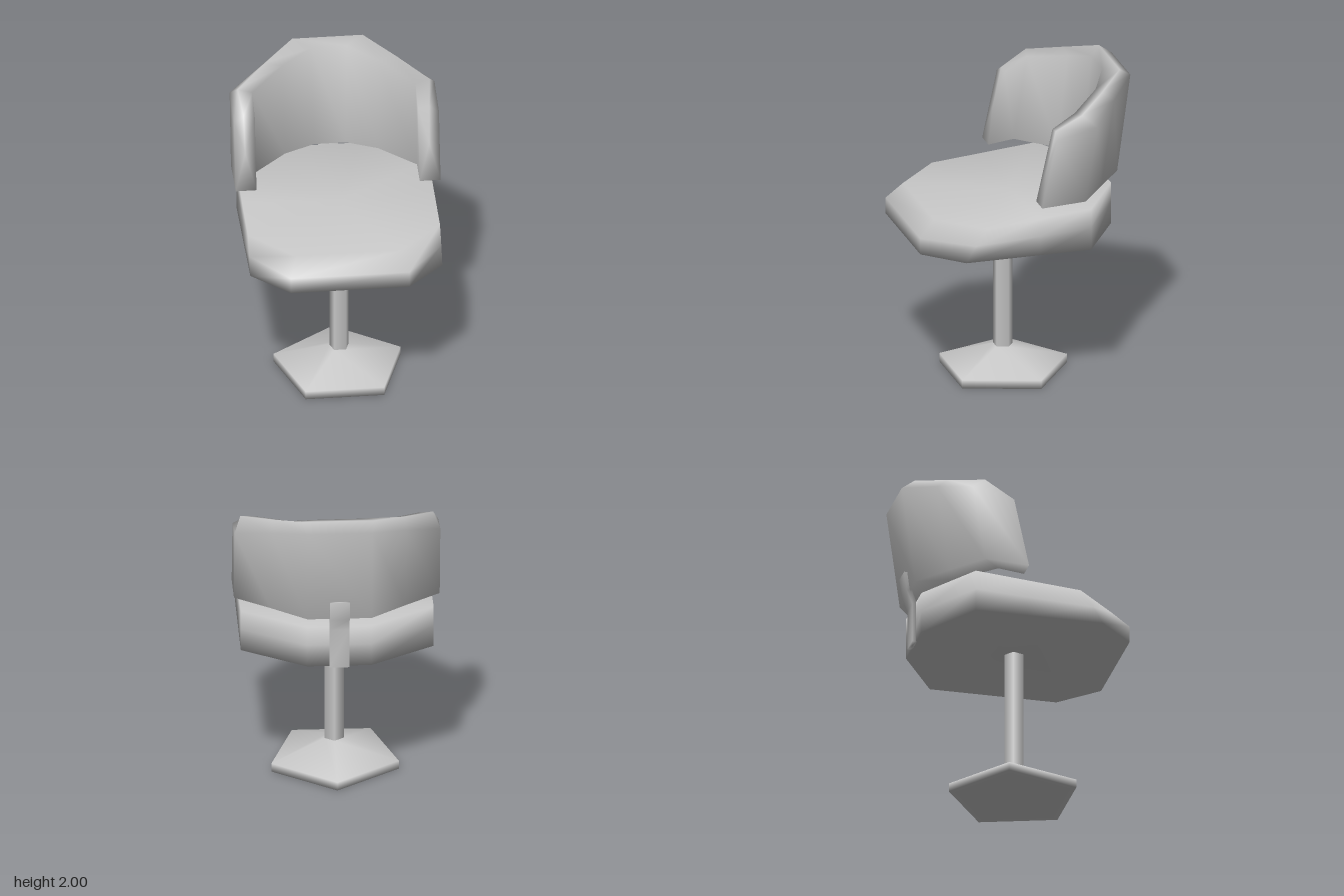
import * as THREE from 'three';

const grey = new THREE.MeshStandardMaterial({ color: 0xc8c8c8 });
grey.name = 'light grey';

// Smooth skin through closed rings of [x, y, z]; each end is capped with a fan around a centre point.
function loft(rings, startCentre, endCentre) {
  const n = rings[0].length;
  const index = [];
  for (let i = 0; i < rings.length - 1; i++) {
    for (let j = 0; j < n; j++) {
      const a = i * n + j, b = i * n + (j + 1) % n;
      index.push(a, b, b + n, a, b + n, a + n);
    }
  }
  const start = rings.length * n, end = start + 1, last = start - n;
  for (let j = 0; j < n; j++) {
    const k = (j + 1) % n;
    index.push(start, k, j, end, last + j, last + k);
  }
  const geometry = new THREE.BufferGeometry();
  const points = [...rings.flat(), startCentre, endCentre];
  geometry.setAttribute('position', new THREE.Float32BufferAttribute(points.flat(), 3));
  geometry.setIndex(index);
  geometry.computeVertexNormals();
  return geometry;
}

const flip = ([x, y, z]) => [-x, y, z];
const mirrored = (list) => [...list, ...list.slice().reverse().map(flip)];

export function createModel() {
  const model = new THREE.Group();
  model.name = 'swivelChair';
  const add = (name, geometry) => {
    const mesh = new THREE.Mesh(geometry, grey);
    mesh.name = name;
    model.add(mesh);
    return mesh;
  };

  // Five-sided foot and post, one corner pointing back
  const turned = (name, profile) => {
    const points = profile.map(([r, y]) => new THREE.Vector2(r, y));
    add(name, new THREE.LatheGeometry(points, 5, Math.PI)).position.z = 0.062;
  };
  turned('foot', [[0, 0], [0.417, 0], [0.417, 0.055], [0.063, 0.17]]);
  turned('post', [[0.063, 0.17], [0.063, 0.985]]);

  // Seat cushion: outlines at the bottom, the bulge and the top, front to back
  const seatRings = [
    [[0.37, 0.975, 0.71], [0.6, 0.975, 0.48], [0.6, 0.975, 0], [0.6, 0.975, -0.33], [0.2, 0.975, -0.58]],
    [[0.37, 1.08, 0.71], [0.6, 1.08, 0.42], [0.6, 1.1, 0], [0.6, 1.12, -0.33], [0.2, 1.12, -0.58]],
    [[0.33, 1.18, 0.61], [0.6, 1.185, 0.34], [0.6, 1.215, 0], [0.6, 1.245, -0.33], [0.2, 1.245, -0.58]],
  ].map(mirrored);
  add('seat', loft(seatRings, [0, 0.975, 0], [0, 1.205, 0.03]));

  // Wraparound backrest: sections from the arm end to the middle,
  // each inner bottom, inner top, ridge, outer top, outer bottom
  const half = [
    [[0.51, 1.3, 0], [0.51, 1.77, -0.105], [0.58, 1.78, -0.105], [0.64, 1.74, -0.095], [0.64, 1.3, 0]],
    [[0.51, 1.32, -0.165], [0.51, 1.86, -0.25], [0.6, 1.875, -0.27], [0.64, 1.8, -0.36], [0.64, 1.315, -0.28]],
    [[0.29, 1.32, -0.38], [0.3, 1.92, -0.45], [0.41, 1.938, -0.46], [0.42, 1.88, -0.535], [0.42, 1.32, -0.45]],
    [[0.1, 1.32, -0.47], [0.11, 1.975, -0.55], [0.22, 2, -0.63], [0.2, 1.95, -0.706], [0.2, 1.32, -0.62]],
  ];
  const sections = [...half, ...half.slice().reverse().map((s) => s.map(flip))];
  add('backrest', loft(sections, [0.575, 1.54, -0.052], [-0.575, 1.54, -0.052]));

  // Bent strap joining seat and backrest: [height, inner z, outer z]
  const w = 0.062;
  const strapRings = [
    [0.975, -0.575, -0.605], [1.235, -0.575, -0.605], [1.32, -0.605, -0.64], [1.445, -0.625, -0.657],
  ].map(([y, a, b]) => [[w, y, a], [w, y, b], [-w, y, b], [-w, y, a]]);
  add('backStrap', loft(strapRings, [0, 0.975, -0.59], [0, 1.445, -0.641]));

  return model;
}
